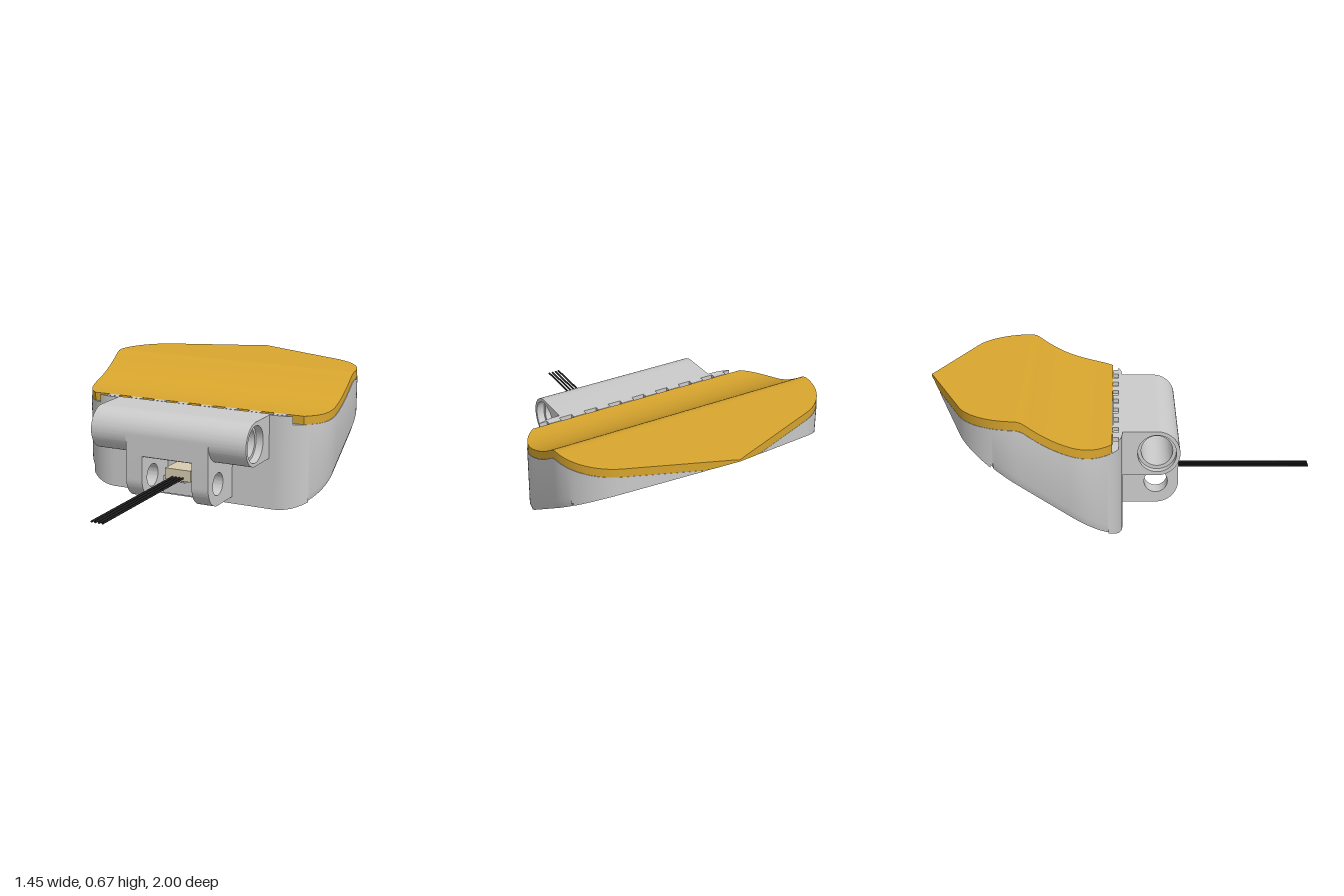
import * as THREE from 'three';
import { toCreasedNormals } from 'three/addons/utils/BufferGeometryUtils.js';

const mat = (color) => new THREE.MeshStandardMaterial({ color });
const grey = mat(0xcccccc), amber = mat(0xd9a62e), beige = mat(0xd8ccb0), black = mat(0x222222);

// Half width of the plan outline: rounded front corners, straight sides, pointed back
function halfWidth(z) {
  if (z > -0.25) return 0.475 + Math.sqrt(Math.max(0, 0.0625 - (z + 0.25) ** 2));
  if (z > -0.5) return 0.725;
  if (z > -0.804) return 0.4 + Math.sqrt(0.325 ** 2 - (z + 0.5) ** 2);
  return Math.max(0.005, (1 + z) * 2.62);
}

// Height of the lid: low at the front, sweeping up to a flat back
function lidTop(z) {
  const u = -z;
  if (u < 0.1) return 0.51;
  if (u < 0.465) return 0.51 + 0.135 * ((u - 0.1) / 0.365) ** 2;
  return 0.665 - 0.02 * (Math.max(0, 0.52 - u) / 0.055) ** 2;
}
const slope = (z) => -z * 0.655;

// Slice positions between two z values, finer round the corners
function slices(z0, z1, extra = []) {
  const zs = [z0, z1, ...extra];
  for (let i = 0; i <= 20; i++) zs.push(-0.25 + 0.25 * Math.cos((i / 20) * Math.PI / 2));
  for (let i = 1; i <= 50; i++) zs.push(-0.25 - i * 0.015);
  zs.push(-0.804);
  return [...new Set(zs)].filter((z) => z <= z0 && z >= z1).sort((a, b) => b - a);
}

// Skin through six-sided cross-sections that follow the plan outline
function slab(zs, bottom, top, inset = 0, bevel = () => 0) {
  const pos = [], idx = [];
  zs.forEach((z) => {
    const w = halfWidth(z) - inset, yb = bottom(z), yt = Math.max(top(z), yb + 0.002), b = bevel(z);
    const ym = Math.min(yb + 0.002 + b * 3, yt);
    pos.push(b - w, yb, z, w - b, yb, z, w, ym, z, w, yt, z, -w, yt, z, -w, ym, z);
  });
  for (let i = 0; i < zs.length - 1; i++) {
    for (let k = 0; k < 6; k++) {
      const a = i * 6 + k, b = i * 6 + (k + 1) % 6;
      idx.push(a, a + 6, b, b, a + 6, b + 6);
    }
  }
  const e = (zs.length - 1) * 6;
  for (let k = 1; k < 5; k++) idx.push(0, k, k + 1, e, e + k + 1, e + k);
  const g = new THREE.BufferGeometry();
  g.setAttribute('position', new THREE.Float32BufferAttribute(pos, 3));
  g.setIndex(idx);
  return toCreasedNormals(g, 0.45);
}

// Side profile drawn in (z, y), extruded across x from x0 to x1
function across(shape, x0, x1) {
  const g = new THREE.ExtrudeGeometry(shape, { depth: x1 - x0, bevelEnabled: false, curveSegments: 28 });
  g.rotateY(-Math.PI / 2).translate(x1, 0, 0);
  return toCreasedNormals(g, 0.5);
}

function hole(z, y, r) {
  return new THREE.Path().absarc(z, y, r, 0, Math.PI * 2, true);
}

export function createModel() {
  const model = new THREE.Group();
  const add = (name, geometry, material = grey) => {
    const m = new THREE.Mesh(geometry, material);
    m.name = name;
    model.add(m);
    return m;
  };
  const box = (name, x0, x1, y0, y1, z0, z1, material) =>
    add(name, new THREE.BoxGeometry(x1 - x0, y1 - y0, z1 - z0), material)
      .position.set((x0 + x1) / 2, (y0 + y1) / 2, (z0 + z1) / 2);

  // Wedge body with a slanted underside, a bevelled lower edge and a narrow groove
  const groove = [-0.625, -0.628, -0.638, -0.641];
  add('body', slab(
    slices(0, -0.94, [-0.068, -0.07, ...groove]),
    (z) => slope(z) + (z <= -0.628 && z >= -0.638 ? 0.015 : 0),
    (z) => lidTop(z) - 0.045, 0,
    (z) => (z <= -0.07 && z >= -0.625 ? 0.014 : 0)));

  // Lid over the body
  add('lid', slab(
    slices(-0.05, -1),
    (z) => Math.max(lidTop(z) - 0.045, slope(z)),
    lidTop, 0.003), amber);

  // Front lip and the row of teeth that hold the lid
  add('frontLip', slab(slices(0, -0.02, [-0.01]), () => 0.46, () => 0.51));
  for (let i = 0; i < 8; i++) {
    const x = (i - 3.5) * 0.1414;
    box('lidTooth', x - 0.035, x + 0.035, 0.49, 0.511, -0.048, -0.018);
  }

  // Upper hinge barrel with a through bore, widened at both ends
  const c = 0.175, r = 0.117, yu = 0.393, yl = 0.155, q = Math.PI / 2;
  const barrel = (bore) => {
    const s = new THREE.Shape();
    s.moveTo(0, yu - r);
    s.lineTo(c, yu - r);
    s.absarc(c, yu, r, -q, q, false);
    s.lineTo(0, yu + r);
    s.holes.push(hole(c, yu, bore));
    return s;
  };
  add('hingeBarrel', across(barrel(0.08), -0.41, 0.41));
  for (const side of [-1, 1]) {
    add('barrelEnd', across(barrel(0.098), side > 0 ? 0.41 : -0.45, side > 0 ? 0.45 : -0.41));
  }

  // Lower knuckles with pin holes, and the web that joins them
  const knuckle = new THREE.Shape();
  knuckle.moveTo(0, yl - r);
  knuckle.lineTo(c, yl - r);
  knuckle.absarc(c, yl, r, -q, 0, false);
  knuckle.lineTo(c + r, yu);
  knuckle.absarc(c, yu, 0.105, 0, -q, true);
  knuckle.lineTo(0, yu - 0.105);
  knuckle.holes.push(hole(c, yl, 0.061));
  add('leftKnuckle', across(knuckle, 0.145, 0.24));
  add('rightKnuckle', across(knuckle, -0.24, -0.145));

  const web = new THREE.Shape();
  web.moveTo(0, 0.268);
  web.lineTo(c, 0.268);
  web.quadraticCurveTo(c + 0.09, 0.268, c + r, 0.285);
  web.lineTo(c + r, yu);
  web.absarc(c, yu, 0.105, 0, -q, true);
  web.lineTo(0, yu - 0.105);
  add('knuckleWeb', across(web, -0.145, 0.145));

  // Connector on its support block, with four pins and four wires
  box('connectorSupport', -0.12, 0.12, 0.04, 0.135, -0.01, 0.1);
  box('connector', -0.075, 0.075, 0.138, 0.2, -0.01, 0.165, beige);
  for (const x of [-0.03, -0.01, 0.01, 0.03]) {
    box('pin', x - 0.004, x + 0.004, 0.122, 0.14, 0.09, 0.15);
    const wire = new THREE.CylinderGeometry(0.0055, 0.0055, 0.85, 10).rotateX(q);
    add('wire', wire, black).position.set(x, 0.155, 0.575);
  }
  return model;
}
